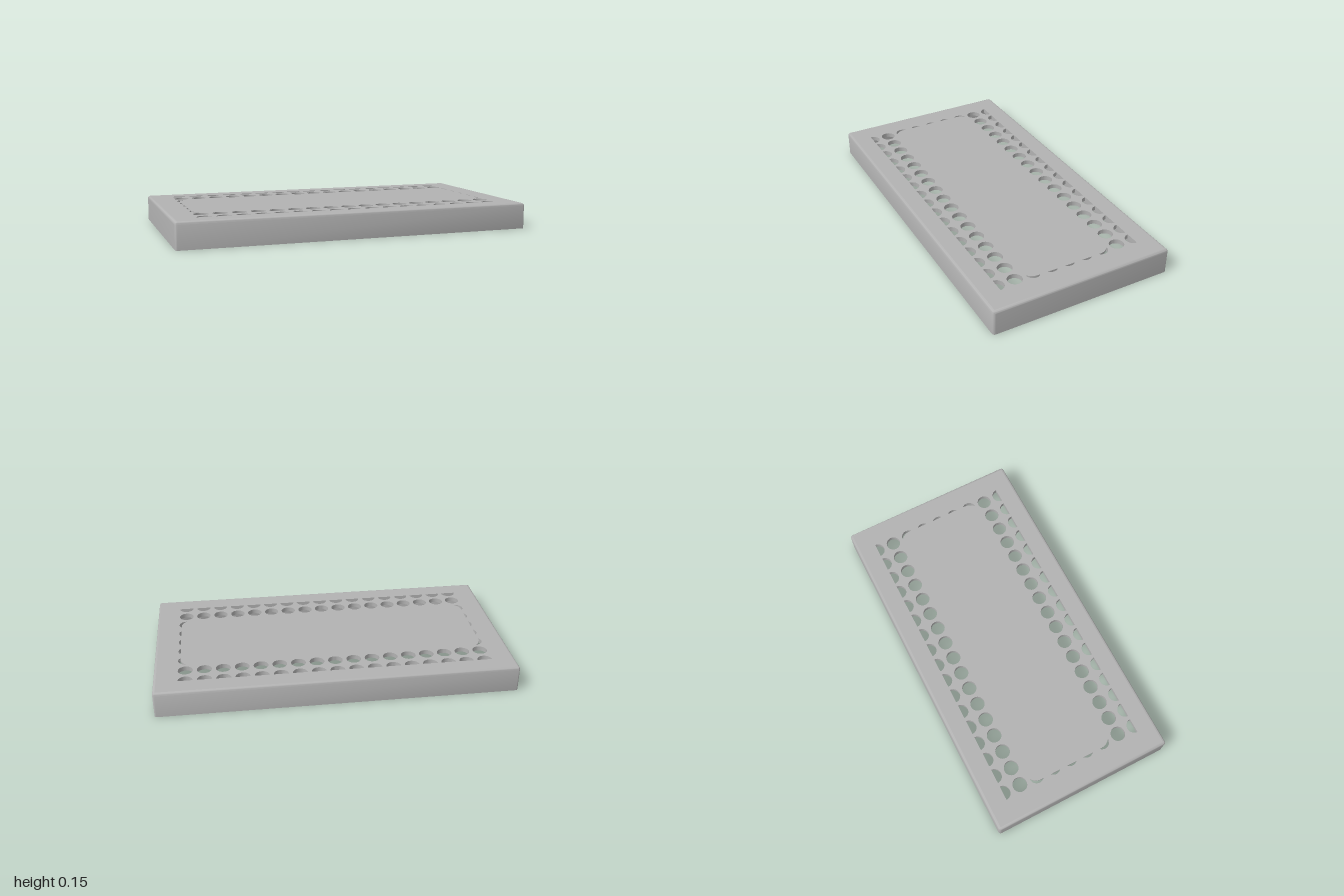
import * as THREE from 'three';
import { toCreasedNormals } from 'three/addons/utils/BufferGeometryUtils.js';

const HX = 1, HZ = 0.526, H = 0.146;      // half width, half depth, height
const WALL = 0.02, EDGE = 0.015;          // wall thickness, edge rounding
const SKIN = 0.012, GRILLE = 0.014;       // layers of the top panel
const PITCH = 0.1036, R = 0.041;          // perforation pitch and hole radius
const PLATE = { x: 0.857, z: 0.26, r: 0.07 }; // blanked-off middle area

// Outline of a rounded rectangle as 2D points
function roundedRect(hx, hz, r, steps = 5) {
  const pts = [];
  [[1, 1], [-1, 1], [-1, -1], [1, -1]].forEach(([sx, sz], q) => {
    for (let i = 0; i <= steps; i++) {
      const a = (q + i / steps) * Math.PI / 2;
      pts.push(new THREE.Vector2(sx * (hx - r) + r * Math.cos(a), sz * (hz - r) + r * Math.sin(a)));
    }
  });
  return pts;
}

// Hollow side frame: outline swept through a wall profile of [inset, y]
function frameGeometry() {
  const profile = [[WALL, H - SKIN - GRILLE], [WALL, 0], [0, 0]];
  for (let i = 0; i <= 6; i++) {
    const a = i / 6 * Math.PI / 2;
    profile.push([EDGE * (1 - Math.cos(a)), H - EDGE + EDGE * Math.sin(a)]);
  }
  const pos = [], idx = [];
  let n = 0;
  for (const [inset, y] of profile) {
    const ring = roundedRect(HX - inset, HZ - inset, Math.max(EDGE - inset, 0.0005));
    n = ring.length;
    ring.forEach(p => pos.push(p.x, y, p.y));
  }
  for (let i = 0; i < profile.length - 1; i++) {
    for (let j = 0; j < n; j++) {
      const a = i * n + j, b = i * n + (j + 1) % n, c = a + n, d = b + n;
      idx.push(a, c, b, b, c, d);
    }
  }
  const g = new THREE.BufferGeometry();
  g.setAttribute('position', new THREE.Float32BufferAttribute(pos, 3));
  g.setIndex(idx);
  return toCreasedNormals(g, 0.6);
}

// Arc of points around a hole centre
function arc(cx, cz, from, to, steps) {
  return Array.from({ length: steps + 1 }, (_, i) => {
    const a = from + (to - from) * i / steps;
    return new THREE.Vector2(cx + R * Math.cos(a), cz + R * Math.sin(a));
  });
}
const circle = (cx, cz) => arc(cx, cz, 0, Math.PI * 2, 28).slice(0, -1);

// Half hole, open towards the middle of the panel
const halfHole = (cx, cz) => cz > 0 ? arc(cx, cz, Math.PI, Math.PI * 2, 14) : arc(cx, cz, 0, Math.PI, 14);

// Part of an end-column hole that lies outside the rounded middle plate
function crescent(cx, cz, side) {
  const outer = [], inner = [];
  for (const p of arc(cx, cz, -Math.PI, Math.PI, 96)) {
    const qx = Math.max(p.x - (PLATE.x - PLATE.r), 0);
    const qz = Math.max(Math.abs(p.y) - (PLATE.z - PLATE.r), 0);
    const len = Math.hypot(qx, qz);
    if (len - PLATE.r < 0.0004) continue;
    const k = PLATE.r / len;
    outer.push(p);
    inner.unshift(new THREE.Vector2(p.x - qx * (1 - k), p.y - Math.sign(p.y) * qz * (1 - k)));
  }
  return [...outer, ...inner].map(p => new THREE.Vector2(p.x * side, p.y));
}

// Flat horizontal panel with holes, its underside at y
function panel(outline, holes, depth, y) {
  const shape = new THREE.Shape(outline);
  shape.holes = holes.map(h => new THREE.Path(h));
  const g = new THREE.ExtrudeGeometry(shape, { depth, bevelEnabled: false });
  g.rotateX(-Math.PI / 2);
  g.translate(0, y, 0);
  return toCreasedNormals(g, 0.6);
}

export function createModel() {
  const group = new THREE.Group();
  const grey = new THREE.MeshStandardMaterial({ color: 0xb2b2b2 });
  grey.name = 'grey';
  const add = (name, geometry) => {
    const mesh = new THREE.Mesh(geometry, grey);
    mesh.name = name;
    group.add(mesh);
    return mesh;
  };

  add('sideFrame', frameGeometry());

  // Perforations: the skin is open only around the middle plate
  const skinHoles = [], grilleHoles = [];
  for (let row = -4; row <= 4; row++) {
    for (let col = -8; col <= 8; col++) {
      const x = col * PITCH, z = row * PITCH, ring = Math.abs(row);
      const hole = () => ring === 4 ? halfHole(x, z) : circle(x, z);
      grilleHoles.push(hole());
      if (ring >= 3) skinHoles.push(hole());
      else if (Math.abs(col) === 8) skinHoles.push(crescent(Math.abs(x), z, Math.sign(col)));
    }
  }
  const skinEdge = roundedRect(HX - EDGE, HZ - EDGE, 0.0005);
  const grilleEdge = roundedRect(HX - WALL, HZ - WALL, 0.0005);
  add('topSkin', panel(skinEdge, skinHoles, SKIN, H - SKIN));
  add('grille', panel(grilleEdge, grilleHoles, GRILLE, H - SKIN - GRILLE));

  // Small locating pegs on the inside of the long walls
  for (const side of [-1, 1]) {
    for (const x of [-0.71, 0, 0.71]) {
      const peg = add('peg', new THREE.CylinderGeometry(0.013, 0.013, 0.016, 16));
      peg.rotation.x = Math.PI / 2;
      peg.position.set(x, 0.07, side * (HZ - WALL - 0.006));
    }
  }
  return group;
}
